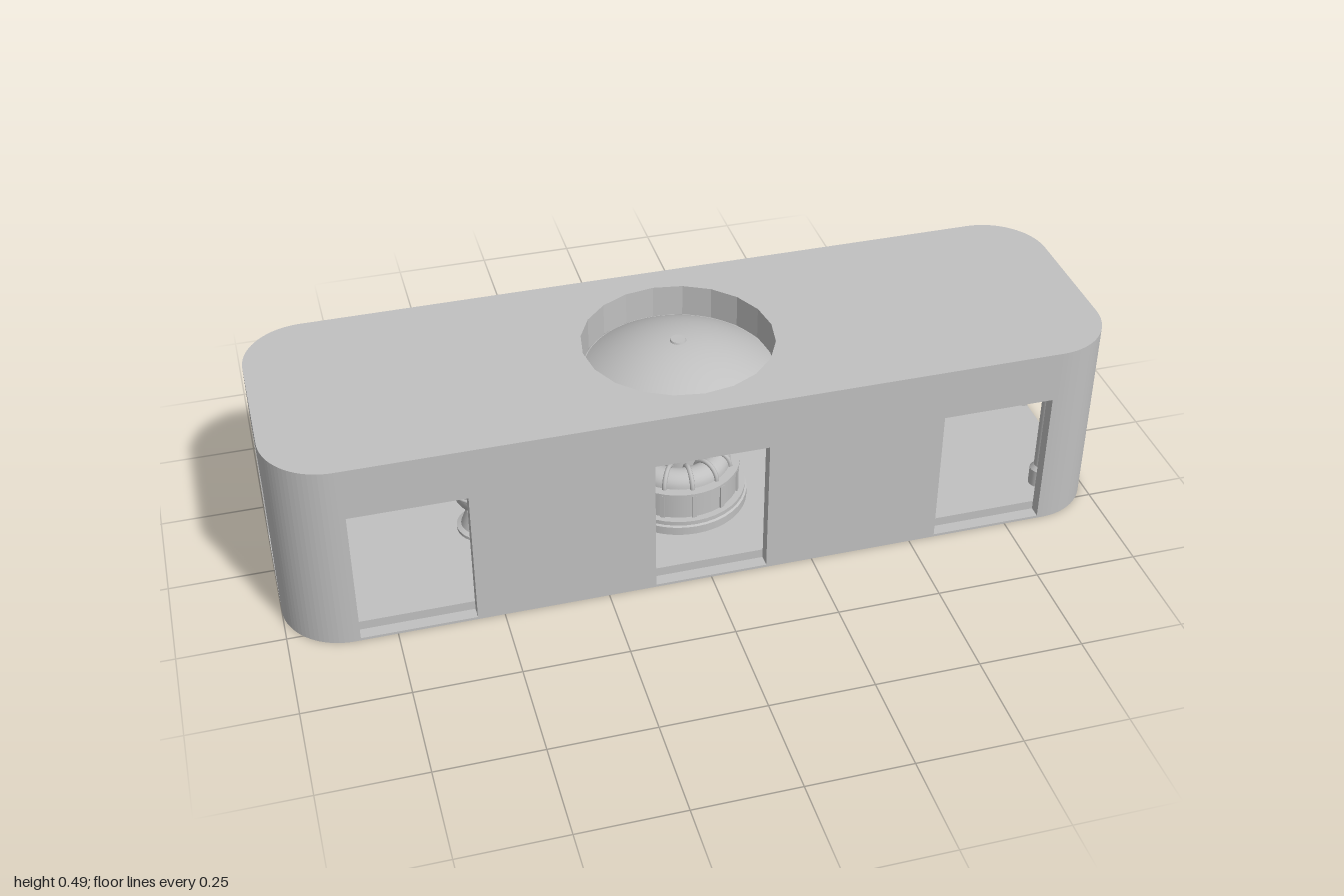
import * as THREE from 'three';

const HX = 1, HZ = 0.3, R = 0.15, T = 0.03;      // plan half sizes, corner radius, wall thickness
const WALL_H = 0.4, TOP = 0.488;

export function createModel() {
  const model = new THREE.Group();
  const grey = new THREE.MeshStandardMaterial({ color: 0xc0c0c0, side: THREE.DoubleSide });
  grey.name = 'light grey';

  const add = (name, geometry, x = 0, y = 0, z = 0, parent = model) => {
    const mesh = new THREE.Mesh(geometry, grey);
    mesh.name = name;
    mesh.position.set(x, y, z);
    parent.add(mesh);
    return mesh;
  };
  const group = (name, x = 0, z = 0) => {
    const g = new THREE.Group();
    g.name = name;
    g.position.set(x, 0, z);
    model.add(g);
    return g;
  };
  const v2 = (pts) => pts.map(([a, b]) => new THREE.Vector2(a, b));
  // Each profile segment is turned separately so its edges stay crisp
  const turned = (name, pts, parent) => {
    for (let i = 1; i < pts.length; i++) {
      add(name, new THREE.LatheGeometry(v2([pts[i], pts[i - 1]]), 40), 0, 0, 0, parent);
    }
  };
  const extrude = (shape, depth) =>
    new THREE.ExtrudeGeometry(shape, { depth, bevelEnabled: false, curveSegments: 10 });
  const slab = (shape, y0, y1) => extrude(shape, y1 - y0).rotateX(-Math.PI / 2).translate(0, y0, 0);

  // Rounded plan outline, optionally inset
  const plan = (inset) => {
    const a = HX - inset, b = HZ - inset, r = R - inset;
    const s = new THREE.Shape();
    s.absarc(a - r, b - r, r, 0, Math.PI / 2);
    s.absarc(-a + r, b - r, r, Math.PI / 2, Math.PI);
    s.absarc(-a + r, -b + r, r, Math.PI, Math.PI * 1.5);
    s.absarc(a - r, -b + r, r, Math.PI * 1.5, Math.PI * 2);
    s.closePath();
    return s;
  };

  // Base plate, floor and roof with a round well
  add('basePlate', slab(plan(0), 0, 0.006));
  add('floor', slab(plan(T), 0.006, 0.03));
  const roof = plan(0);
  roof.holes.push(new THREE.Path().absarc(0, 0, 0.23, 0, Math.PI * 2, true));
  add('roof', extrude(roof, TOP - WALL_H).rotateX(-Math.PI / 2).translate(0, WALL_H, 0));

  // Straight walls with doorways
  const wall = (half, centres) => {
    const s = new THREE.Shape(v2([[-half, 0.006], [half, 0.006], [half, WALL_H], [-half, WALL_H]]));
    for (const c of centres) {
      const l = c - 0.136, r = c + 0.136;
      s.holes.push(new THREE.Path(v2([[l, 0.0065], [l, 0.358], [r, 0.358], [r, 0.0065]])));
    }
    return extrude(s, T);
  };
  for (const side of [0, 1]) {
    const turn = side * Math.PI;
    add('longWall', wall(HX - R, [-0.7, 0, 0.7]).translate(0, 0, HZ - T).rotateY(turn));
    add('endWall', wall(HZ - R, [0]).translate(0, 0, HX - T).rotateY(Math.PI / 2 + turn));
  }

  // Curved wall corners and corner posts
  for (const sx of [-1, 1]) for (const sz of [-1, 1]) {
    const start = Math.atan2(-sz, sx) - Math.PI / 4;
    const s = new THREE.Shape();
    s.absarc(0, 0, R, start, start + Math.PI / 2, false);
    s.absarc(0, 0, R - T, start + Math.PI / 2, start, true);
    s.closePath();
    add('wallCorner', slab(s, 0.006, WALL_H), sx * (HX - R), 0, sz * (HZ - R));
    const post = group('cornerPost', sx * 0.88, sz * 0.2);
    turned('post', [[0.025, 0.03], [0.025, 0.075], [0.016, 0.085], [0.016, 0.32],
      [0.025, 0.33], [0.025, WALL_H]], post);
  }

  // Shallow dome in the roof well
  const dome = [];
  for (let i = 0; i <= 16; i++) {
    const r = 0.23 * i / 16;
    dome.push([r, 0.484 - 0.08 * (r / 0.23) ** 2]);
  }
  add('dome', new THREE.LatheGeometry(v2(dome.reverse()), 64));
  add('domeCap', new THREE.CylinderGeometry(0.018, 0.02, 0.006, 24), 0, 0.485, 0);
  add('domeRing', new THREE.TorusGeometry(0.225, 0.008, 8, 48).rotateX(Math.PI / 2), 0, 0.4, 0);

  // Ceiling battens
  for (const sx of [-1, 1]) for (let i = -2; i <= 2; i++) {
    add('ceilingBatten', new THREE.BoxGeometry(0.55, 0.006, 0.012), sx * 0.6, 0.397, i * 0.09);
  }

  // Central machine: stepped drum, domed ring and column
  const machine = group('machine');
  turned('drum', [[0, 0.03], [0.17, 0.03], [0.17, 0.052], [0.165, 0.055], [0.165, 0.066],
    [0.148, 0.066], [0.148, 0.13], [0.152, 0.13], [0.152, 0.137], [0, 0.137]], machine);
  const ring = [];
  for (let i = 0; i <= 12; i++) {
    const a = Math.PI * i / 12;
    ring.push([0.095 + 0.034 * Math.cos(a), 0.137 + 0.032 * Math.sin(a)]);
  }
  add('domedRing', new THREE.LatheGeometry(v2(ring), 48), 0, 0, 0, machine);
  turned('column', [[0.055, 0.137], [0.055, 0.17], [0.037, 0.18], [0.037, 0.305], [0.046, 0.31],
    [0.055, 0.317], [0.055, 0.328], [0.046, 0.336], [0.02, 0.338], [0.012, 0.355], [0, 0.358]], machine);
  for (let i = 0; i < 12; i++) {
    const a = i * Math.PI / 6;
    const rib = new THREE.Group();
    rib.name = 'rib';
    rib.rotation.y = a;
    machine.add(rib);
    add('ribArch', new THREE.TorusGeometry(0.036, 0.006, 8, 16, Math.PI), 0.095, 0.137, 0, rib);
    add('ribStrip', new THREE.BoxGeometry(0.006, 0.064, 0.012), 0.149, 0.098, 0, rib);
  }

  // Spherical tanks on flared stands, each piped to the column
  for (const sx of [-1, 1]) {
    const tank = group('tank', sx * 0.49);
    turned('stand', [[0.066, 0.03], [0.066, 0.038], [0.055, 0.043], [0.04, 0.084], [0, 0.084]], tank);
    add('sphere', new THREE.SphereGeometry(0.072, 40, 24), 0, 0.156, 0, tank);
    add('sphereBand', new THREE.TorusGeometry(0.073, 0.004, 8, 48).rotateX(Math.PI / 2), 0, 0.155, 0, tank);
    turned('sphereCap', [[0.03, 0.218], [0.028, 0.232], [0.02, 0.238], [0, 0.238]], tank);
    for (const z of [-0.0125, 0.0125]) {
      const p = (x, y) => new THREE.Vector3(sx * x, y, z);
      const path = new THREE.CurvePath();
      path.add(new THREE.LineCurve3(p(0.49, 0.23), p(0.49, 0.36)));
      path.add(new THREE.QuadraticBezierCurve3(p(0.49, 0.36), p(0.49, 0.376), p(0.474, 0.376)));
      path.add(new THREE.LineCurve3(p(0.474, 0.376), p(0.19, 0.376)));
      path.add(new THREE.QuadraticBezierCurve3(p(0.19, 0.376), p(0.17, 0.376), p(0.15, 0.366)));
      path.add(new THREE.LineCurve3(p(0.15, 0.366), p(0.04, 0.322)));
      add('pipe', new THREE.TubeGeometry(path, 80, 0.007, 10));
    }
    // Wall post at the front, small console at the back
    turned('wallPost', [[0.022, 0.03], [0.022, 0.06], [0.014, 0.066], [0.014, WALL_H]],
      group('doorPost', sx * 0.18, 0.23));
    const desk = group('console', sx * 0.19, -0.235);
    add('consoleBody', new THREE.BoxGeometry(0.06, 0.06, 0.04), 0, 0.06, 0, desk);
    add('consolePanel', new THREE.BoxGeometry(0.06, 0.04, 0.012), 0, 0.11, -0.014, desk);
  }
  return model;
}
